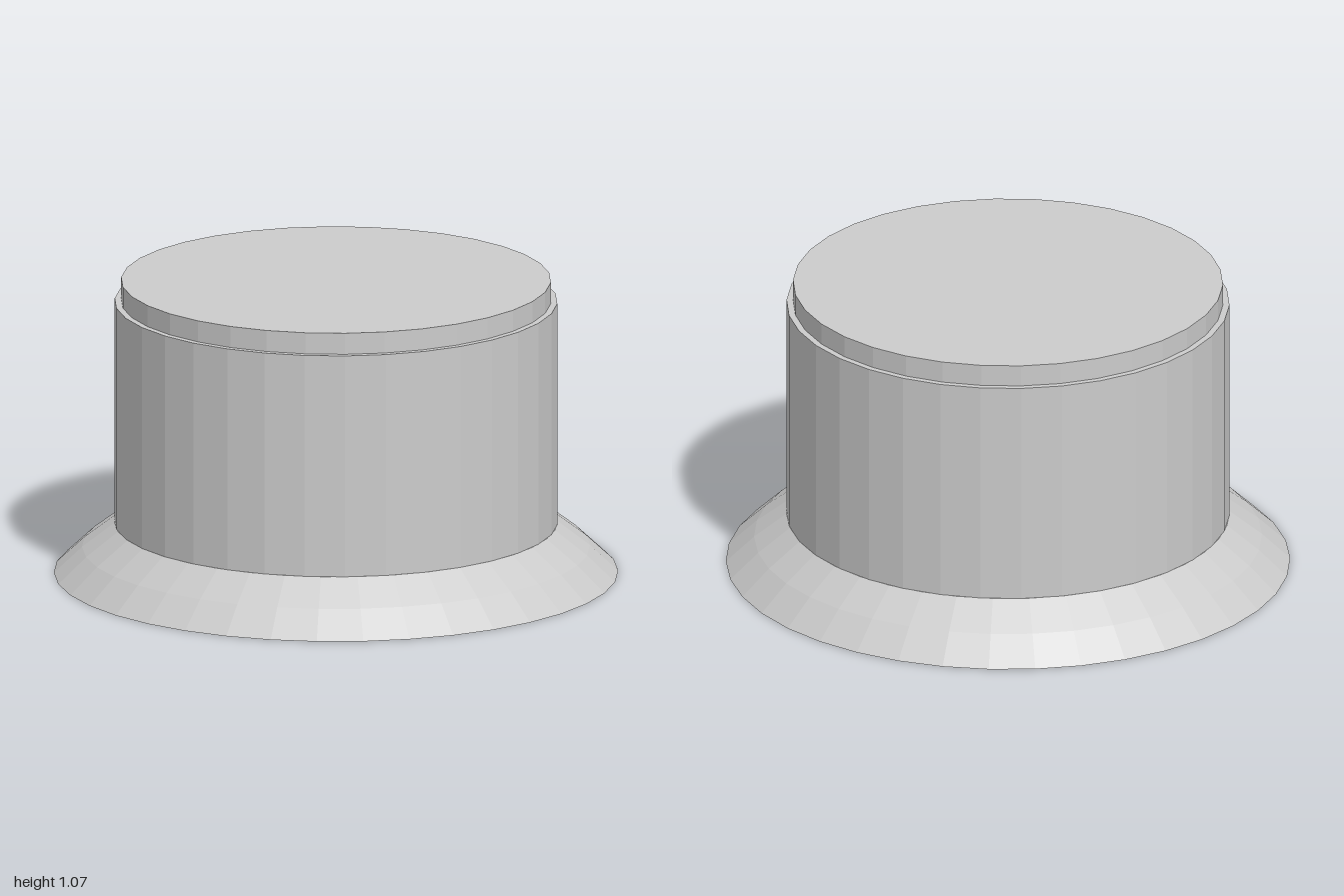
import * as THREE from 'three';

const material = new THREE.MeshStandardMaterial({ color: 0xcccccc, flatShading: true });
const deg = THREE.MathUtils.degToRad;

// Turns a closed [radius, height] profile, listed from bottom to top, around the y axis.
function turned(name, profile, segments, startAngle) {
  const points = profile.map(([r, y]) => new THREE.Vector2(r, y));
  const mesh = new THREE.Mesh(new THREE.LatheGeometry(points, segments, deg(startAngle)), material);
  mesh.name = name;
  return mesh;
}

export function createModel() {
  const model = new THREE.Group();
  model.name = 'flangedKnob';

  // Flared foot, slightly convex, closed underneath
  model.add(turned('flaredBase', [[0, 0], [1, 0], [0.9, 0.094], [0.785, 0.182], [0, 0.182]], 38, 90));

  // Straight drum with a flat shoulder
  model.add(turned('body', [[0, 0.182], [0.785, 0.182], [0.785, 0.99], [0, 0.99]], 34, -2.9));

  // Narrower raised disc on top
  model.add(turned('topCap', [[0, 0.99], [0.762, 0.99], [0.762, 1.067], [0, 1.067]], 34, -2.9));

  return model;
}
